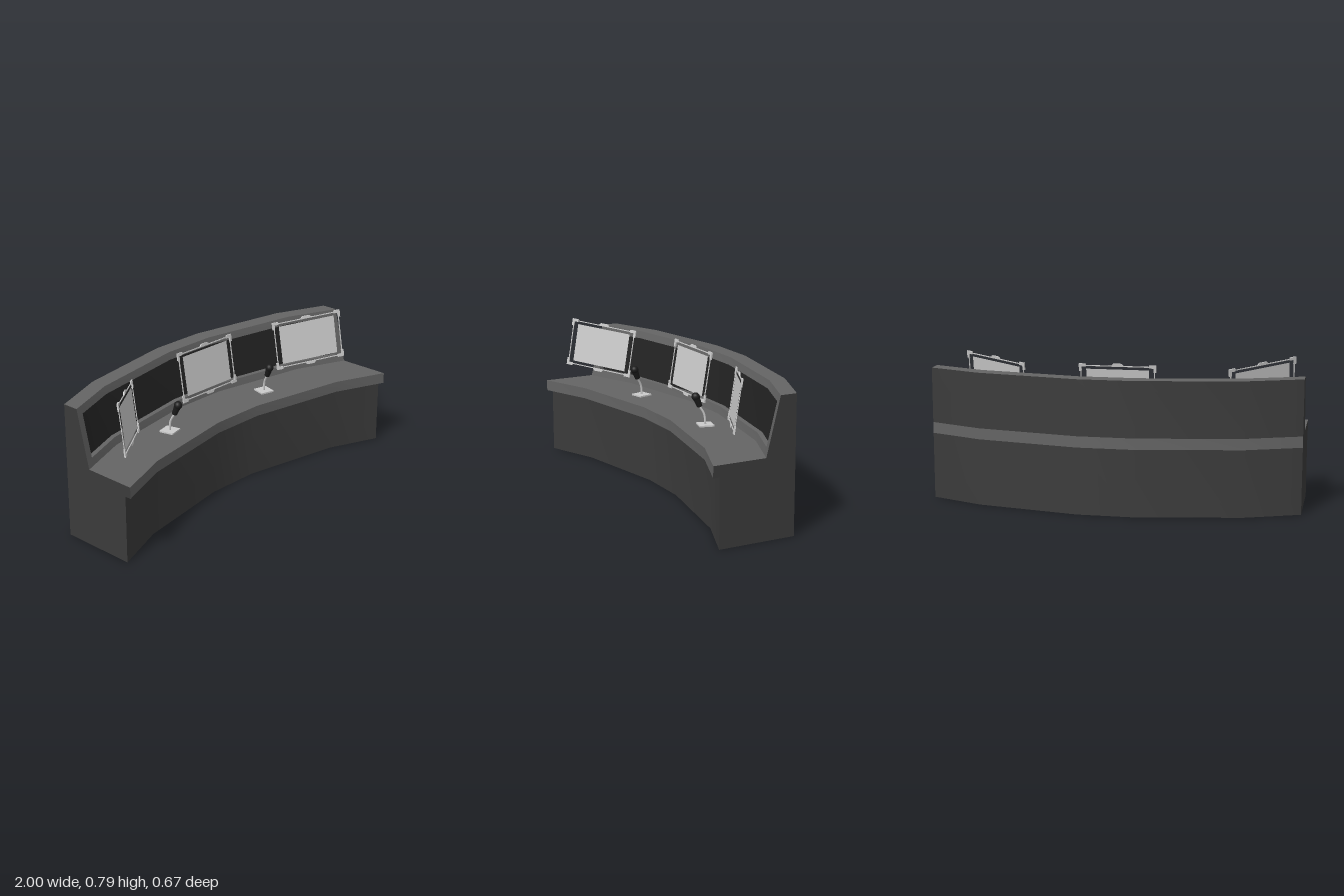
import * as THREE from 'three';

const mat = (color, side = THREE.FrontSide) => new THREE.MeshStandardMaterial({ color, side });
const dark = mat(0x3b3b3b), light = mat(0x646464), black = mat(0x222222);
const grey = mat(0xcccccc), greyThin = mat(0xcccccc, THREE.DoubleSide), micBlack = mat(0x1c1c1c);

// Plan curve of the desk: z shift at each station along x
const STATIONS = [-1, -0.71, -0.155, 0.155, 0.71, 1];
const SHIFT = [0, -0.115, -0.215, -0.215, -0.115, 0];
const INNER = 0.955; // half width of the recess in the back wall
function shiftAt(x) {
  let i = 0;
  while (i < STATIONS.length - 2 && x > STATIONS[i + 1]) i++;
  return THREE.MathUtils.mapLinear(x, STATIONS[i], STATIONS[i + 1], SHIFT[i], SHIFT[i + 1]);
}

function add(parent, name, geometry, material) {
  const mesh = new THREE.Mesh(geometry, material);
  mesh.name = name;
  parent.add(mesh);
  return mesh;
}

// Sweeps an open [z, y] profile along x; smooth along the curve, sharp across profile corners
function sweep(profile, xs = STATIONS) {
  const pos = [], index = [];
  for (let e = 0; e < profile.length - 1; e++) {
    const start = pos.length / 3;
    xs.forEach((x, i) => {
      for (const [z, y] of [profile[e], profile[e + 1]]) pos.push(x, y, z + shiftAt(x));
      if (i === 0) return;
      const a = start + 2 * (i - 1);
      index.push(a, a + 2, a + 1, a + 1, a + 2, a + 3);
    });
  }
  const g = new THREE.BufferGeometry();
  g.setAttribute('position', new THREE.Float32BufferAttribute(pos, 3));
  g.setIndex(index);
  g.computeVertexNormals();
  return g;
}

// Flat face in the z-y plane at a given x, facing +x or -x
function endFace(profile, x, dir) {
  const shape = new THREE.Shape(profile.map(([z, y]) => new THREE.Vector2(-dir * z, y)));
  return new THREE.ShapeGeometry(shape).rotateY(dir * Math.PI / 2).translate(x, 0, shiftAt(x));
}

function createDesk() {
  const desk = new THREE.Group();
  desk.name = 'desk';
  const lip = [0.035, 0.46], head = [-0.02, 0.68];
  const recessLow = [0.008, 0.46], recessHigh = [-0.047, 0.68];
  const inner = [-INNER, ...STATIONS.slice(1, -1), INNER];

  // Base, counter and back shell
  add(desk, 'baseFront', sweep([[0.3, 0], [0.3, 0.36]]), dark);
  add(desk, 'counter', sweep([[0.3, 0.36], [0.335, 0.36], [0.335, 0.42], [0.045, 0.42], lip]), light);
  add(desk, 'wallTop', sweep([head, [-0.03, 0.72], [-0.12, 0.72]]), light);
  add(desk, 'backUpper', sweep([[-0.12, 0.72], [-0.12, 0.42]]), dark);
  add(desk, 'backBand', sweep([[-0.12, 0.42], [-0.12, 0.36]]), light);
  add(desk, 'backLower', sweep([[-0.12, 0.36], [-0.12, 0], [0.3, 0]]), dark);

  // Recessed panel in the sloping wall
  add(desk, 'recessLedge', sweep([lip, recessLow], inner), light);
  add(desk, 'recessPanel', sweep([recessLow, recessHigh], inner), black);
  add(desk, 'recessCeiling', sweep([recessHigh, head], inner), light);

  // Ends of the wall frame and of the whole desk
  const outline = [[0.3, 0], [0.3, 0.36], [0.335, 0.36], [0.335, 0.42],
    [0.045, 0.42], [-0.03, 0.72], [-0.12, 0.72], [-0.12, 0]];
  for (const s of [-1, 1]) {
    add(desk, 'wallPost', sweep([lip, head], s > 0 ? [INNER, 1] : [-1, -INNER]), light);
    add(desk, 'recessSide', endFace([lip, head, recessHigh, recessLow], s * INNER, -s), light);
    add(desk, 'endPanel', endFace(outline, s, s), dark);
  }
  return desk;
}

// Floating screen inside an open frame with corner brackets and clips
function createMonitor(x, y, z, turn) {
  const monitor = new THREE.Group();
  monitor.name = 'monitor';
  const W = 0.395, H = 0.252, T = 0.005;
  add(monitor, 'screen', new THREE.PlaneGeometry(0.337, 0.216), greyThin);
  const bracket = new THREE.Shape([[-0.027, 0.01], [0.01, 0.01], [0.01, -0.03],
    [-0.004, -0.03], [-0.004, -0.006], [-0.027, -0.006]].map(p => new THREE.Vector2(...p)));
  const clip = new THREE.Shape([[-0.036, 0], [0.036, 0], [0.022, 0.014], [-0.022, 0.014]]
    .map(p => new THREE.Vector2(...p)));
  const solid = (shape, depth) =>
    new THREE.ExtrudeGeometry(shape, { depth, bevelEnabled: false }).translate(0, 0, -depth / 2);

  for (const s of [-1, 1]) {
    add(monitor, 'sideRail', new THREE.BoxGeometry(T, H, 0.004), grey).position.x = s * W / 2;
    add(monitor, 'crossRail', new THREE.BoxGeometry(W, T, 0.004), grey).position.y = s * H / 2;
    const c = add(monitor, 'clip', solid(clip, 0.006), grey);
    c.position.y = s * H / 2;
    if (s < 0) c.rotation.z = Math.PI;
    // Opposite corners: top pair, then bottom pair by half turns
    for (const t of [-1, 1]) {
      const b = add(monitor, 'cornerBracket', solid(bracket, 0.008), grey);
      b.position.set(s * W / 2, t * H / 2, 0);
      b.rotation.set(t < 0 ? Math.PI : 0, s < 0 ? Math.PI : 0, 0);
    }
  }
  monitor.position.set(x, y, z);
  monitor.rotation.set(-0.166, turn, 0);
  return monitor;
}

// Microphone on a small plate, leaning to the front and the middle
function createMicrophone(x, side) {
  const mic = new THREE.Group();
  mic.name = 'microphone';
  add(mic, 'basePlate', new THREE.BoxGeometry(0.078, 0.008, 0.08), grey).position.y = 0.004;
  const path = new THREE.CatmullRomCurve3([[0, 0.004, 0], [0, 0.06, 0.006], [0, 0.115, 0.04]]
    .map(p => new THREE.Vector3(...p)));
  add(mic, 'stem', new THREE.TubeGeometry(path, 10, 0.006, 8), grey);
  const head = new THREE.Group();
  head.name = 'micHead';
  add(head, 'handle', new THREE.CylinderGeometry(0.019, 0.014, 0.055, 14), micBlack);
  add(head, 'grille', new THREE.SphereGeometry(0.022, 14, 10), micBlack).position.y = 0.03;
  head.position.set(0, 0.128, 0.04);
  head.rotation.x = 0.4;
  mic.add(head);
  mic.position.set(x, 0.42, 0.008);
  mic.rotation.y = -side * 0.25;
  return mic;
}

export function createModel() {
  const model = new THREE.Group();
  model.name = 'controlDesk';
  model.add(createDesk());
  model.add(createMonitor(-0.018, 0.632, -0.09, 0));
  model.add(createMonitor(-0.768, 0.635, 0.088, 0.65));
  model.add(createMonitor(0.68, 0.635, 0.033, -0.46));
  model.add(createMicrophone(-0.405, -1));
  model.add(createMicrophone(0.333, 1));
  return model;
}
